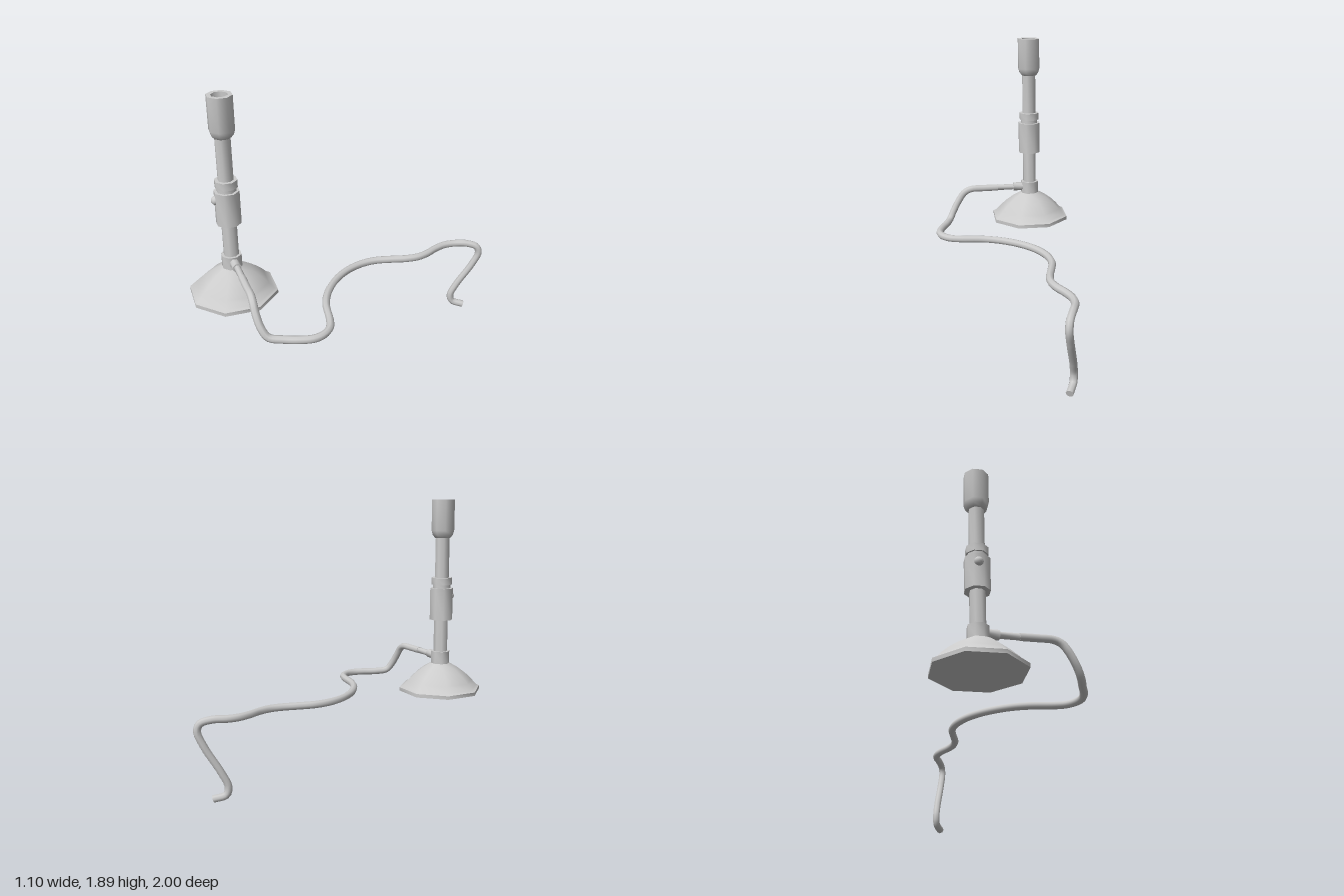
import * as THREE from 'three';
import { toCreasedNormals } from 'three/addons/utils/BufferGeometryUtils.js';

const material = new THREE.MeshStandardMaterial({ color: 0xcccccc });
const v = (x, y, z) => new THREE.Vector3(x, y, z);

function add(parent, name, geometry) {
  const mesh = new THREE.Mesh(geometry, material);
  mesh.name = name;
  parent.add(mesh);
  return mesh;
}

// Eight-sided turned part from [radius, height] pairs
function turned(parent, name, profile) {
  const points = profile.map(([r, y]) => new THREE.Vector2(r, y));
  return add(parent, name, toCreasedNormals(new THREE.LatheGeometry(points, 8), 0.85));
}

// Straight rod between two points
function rod(parent, name, a, b, radius) {
  const geometry = new THREE.CylinderGeometry(radius, radius, a.distanceTo(b), 8);
  const mesh = add(parent, name, toCreasedNormals(geometry, 0.85));
  mesh.position.copy(a).lerp(b, 0.5);
  mesh.quaternion.setFromUnitVectors(v(0, 1, 0), b.clone().sub(a).normalize());
  return mesh;
}

export function createModel() {
  const model = new THREE.Group();
  model.name = 'gasBurner';

  const burner = new THREE.Group();
  burner.name = 'burner';
  burner.position.set(-0.26, 0, 0.705);
  model.add(burner);

  // Domed foot with a thin rim and a neck
  turned(burner, 'base', [
    [0, 0.53], [0.295, 0.53], [0.295, 0.555], [0.272, 0.565], [0.235, 0.607],
    [0.19, 0.65], [0.13, 0.696], [0.067, 0.732], [0.067, 0.82], [0, 0.82],
  ]);
  // Barrel and the air collar around it
  turned(burner, 'barrel', [[0.05, 0.8], [0.05, 1.66]]);
  turned(burner, 'airCollar', [[0.04, 1.05], [0.082, 1.05], [0.082, 1.275], [0.04, 1.275]]);
  turned(burner, 'collarNeck', [[0.063, 1.27], [0.063, 1.305]]);
  turned(burner, 'lockRing', [[0.04, 1.3], [0.073, 1.3], [0.073, 1.35], [0.04, 1.35]]);
  // Flared head, hollow at the top
  turned(burner, 'burnerHead', [
    [0.045, 1.628], [0.056, 1.63], [0.072, 1.65], [0.081, 1.68], [0.081, 1.895],
    [0.052, 1.895], [0.052, 1.7], [0, 1.7],
  ]);
  // Adjusting knob on the front of the collar
  const knob = add(burner, 'knob', new THREE.SphereGeometry(0.03, 12, 8));
  knob.position.set(-0.028, 1.217, 0.066);

  // Gas inlet
  rod(model, 'inletNut', v(-0.215, 0.78, 0.718), v(-0.14, 0.78, 0.744), 0.031);
  rod(model, 'inletPipe', v(-0.15, 0.78, 0.74), v(-0.01, 0.78, 0.79), 0.021);

  // Hose: down from the inlet, winding over the table, then over its edge
  const y = 0.555;
  const path = [
    v(-0.025, 0.78, 0.785), v(0.08, 0.78, 0.825), v(0.165, 0.778, 0.855), v(0.21, 0.755, 0.873),
    v(0.25, 0.7, 0.886), v(0.3, 0.62, 0.886), v(0.34, 0.567, 0.865), v(0.4, y, 0.8),
    v(0.47, y, 0.725), v(0.515, y, 0.655), v(0.523, y, 0.585), v(0.495, y, 0.515),
    v(0.44, y, 0.465), v(0.29, y, 0.37), v(0.2, y, 0.28), v(0.12, y, 0.15),
    v(0.08, y, 0.03), v(0.07, y, -0.07), v(0.08, y, -0.16), v(0.11, y, -0.245),
    v(0.17, y, -0.335), v(0.235, y, -0.425), v(0.27, y, -0.5), v(0.28, y, -0.58),
    v(0.273, y, -0.68), v(0.28, y, -0.765), v(0.31, y, -0.835), v(0.37, y, -0.905),
    v(0.425, 0.53, -0.96), v(0.437, 0.48, -0.973), v(0.41, 0.38, -0.945),
    v(0.34, 0.2, -0.868), v(0.316, 0.11, -0.838), v(0.325, 0.055, -0.848), v(0.387, 0.029, -0.905),
  ];
  const curve = new THREE.CatmullRomCurve3(path, false, 'centripetal');
  const hose = new THREE.Group();
  hose.name = 'hose';
  model.add(hose);
  add(hose, 'hoseTube', new THREE.TubeGeometry(curve, 160, 0.025, 8));
  for (const [t, sign] of [[0, -1], [1, 1]]) {
    const cap = add(hose, 'hoseEnd', new THREE.CircleGeometry(0.025, 8));
    cap.position.copy(curve.getPoint(t));
    cap.quaternion.setFromUnitVectors(v(0, 0, 1), curve.getTangent(t).multiplyScalar(sign));
  }
  return model;
}
